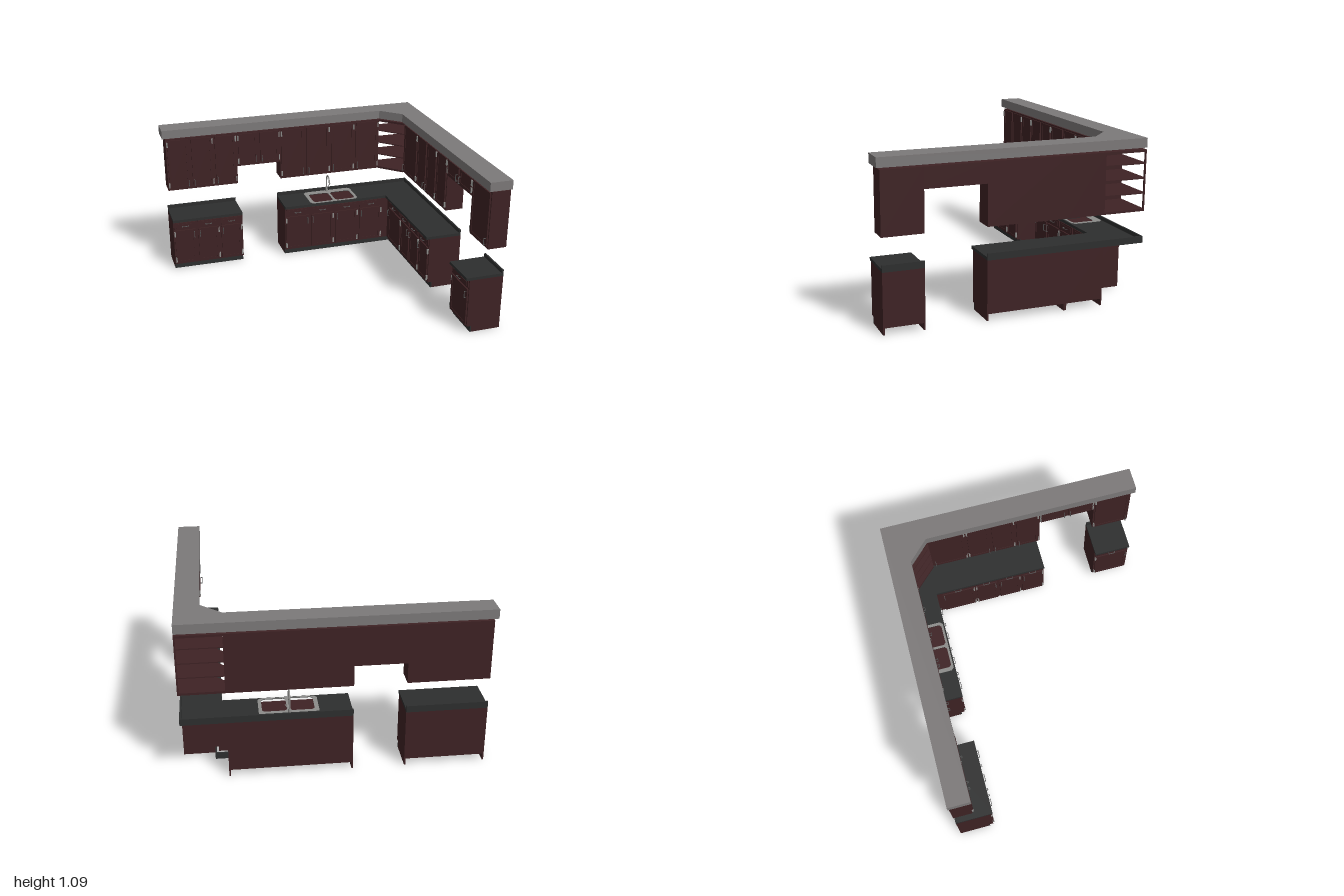
import * as THREE from 'three';

const mat = (name, color) => {
  const m = new THREE.MeshStandardMaterial({ color });
  m.name = name;
  return m;
};

export function createModel() {
  const wood = mat('dark red wood', 0x3e2224);
  const stone = mat('charcoal counter', 0x2d2e2e);
  const plaster = mat('grey soffit', 0x7c7979);
  const metal = mat('brushed metal', 0x8c8c8a);
  const pullMetal = mat('dark pull metal', 0x555555);
  const root = new THREE.Group();
  root.name = 'cornerKitchen';

  const add = (parent, name, geo, material) => {
    const m = new THREE.Mesh(geo, material);
    m.name = name;
    parent.add(m);
    return m;
  };
  // box given by its limits on each axis
  const box = (parent, name, material, x0, x1, y0, y1, z0, z1) => {
    const m = add(parent, name, new THREE.BoxGeometry(x1 - x0, y1 - y0, z1 - z0), material);
    m.position.set((x0 + x1) / 2, (y0 + y1) / 2, (z0 + z1) / 2);
    return m;
  };
  // horizontal slab from a plan outline of [x, z] points
  const plan = (pts) => pts.map(([x, z]) => new THREE.Vector2(x, -z));
  const slab = (parent, name, material, pts, y0, y1, holes = []) => {
    const s = new THREE.Shape(plan(pts));
    for (const h of holes) s.holes.push(new THREE.Path(plan(h)));
    const g = new THREE.ExtrudeGeometry(s, { depth: y1 - y0, bevelEnabled: false });
    g.rotateX(-Math.PI / 2);
    add(parent, name, g, material).position.y = y0;
  };
  const rect = (x0, x1, z0, z1) => [[x0, z0], [x1, z0], [x1, z1], [x0, z1]];
  // rectangle with cut corners
  const softRect = (x0, x1, z0, z1, c) => [
    [x0 + c, z0], [x1 - c, z0], [x1, z0 + c], [x1, z1 - c],
    [x1 - c, z1], [x0 + c, z1], [x0, z1 - c], [x0, z0 + c]];

  // each run: local x along the wall, wall at local z = 0, fronts face local +z
  const backRun = new THREE.Group();
  backRun.name = 'backRun';
  backRun.position.z = -0.895;
  const sideRun = new THREE.Group();
  sideRun.name = 'sideRun';
  sideRun.position.x = 1;
  sideRun.rotation.y = -Math.PI / 2;
  root.add(backRun, sideRun);

  // bar pull on two standoffs
  const pull = (run, x, y, z, len, vertical) => {
    const g = new THREE.Group();
    g.name = 'pull';
    g.position.set(x, y, z);
    if (vertical) g.rotation.z = Math.PI / 2;
    run.add(g);
    const h = len / 2, t = 0.002;
    box(g, 'pullBar', pullMetal, -h, h, -t, t, 0.012, 0.016);
    for (const s of [-h + t, h - t]) box(g, 'pullPost', pullMetal, s - t, s + t, -t, t, 0, 0.012);
  };

  // framed door; hinge is 'L' or 'R'
  const door = (run, x0, x1, y0, y1, z, hinge, pullY) => {
    const g = 0.01, f = 0.02;
    box(run, 'door', wood, x0 + g, x1 - g, y0, y1, z, z + 0.007);
    for (const [a, b] of [[x0 + g, x0 + g + f], [x1 - g - f, x1 - g]])
      box(run, 'doorStile', wood, a, b, y0, y1, z + 0.007, z + 0.01);
    for (const [a, b] of [[y0, y0 + f], [y1 - f, y1]])
      box(run, 'doorRail', wood, x0 + g + f, x1 - g - f, a, b, z + 0.007, z + 0.01);
    const hx = hinge === 'L' ? x0 + 0.01 : x1 - 0.01;
    const px = hinge === 'L' ? x1 - 0.022 : x0 + 0.022;
    for (const hy of [y0 + 0.03, y1 - 0.03])
      box(run, 'hinge', metal, hx - 0.005, hx + 0.005, hy - 0.02, hy + 0.02, z, z + 0.012);
    pull(run, px, pullY, z + 0.01, 0.05, true);
  };

  // base cabinet with toe kick, drawers over doors, and end panels down to the floor
  const base = (run, x0, x1, hinges) => {
    const D = 0.245, w = (x1 - x0) / hinges.length;
    box(run, 'baseCarcass', wood, x0, x1, 0.045, 0.395, 0, D);
    box(run, 'toeKick', stone, x0, x1, 0, 0.045, 0.21, 0.22);
    for (const x of [x0, x1 - 0.01]) box(run, 'endPanelFoot', wood, x, x + 0.01, 0, 0.045, 0, 0.21);
    [...hinges].forEach((h, i) => {
      const a = x0 + i * w, b = a + w;
      box(run, 'drawerFront', wood, a + 0.01, b - 0.01, 0.335, 0.387, D, D + 0.007);
      box(run, 'drawerPanel', wood, a + 0.025, b - 0.025, 0.346, 0.376, D + 0.007, D + 0.01);
      pull(run, (a + b) / 2, 0.361, D + 0.01, 0.05, false);
      door(run, a, b, 0.052, 0.325, D, h, 0.285);
    });
  };

  // wall cabinet
  const wall = (run, x0, x1, y0, hinges) => {
    const D = 0.133, w = (x1 - x0) / hinges.length;
    box(run, 'wallCarcass', wood, x0, x1, y0, 1.015, 0, D);
    [...hinges].forEach((h, i) =>
      door(run, x0 + i * w, x0 + (i + 1) * w, y0 + 0.012, 1.005, D, h, y0 + 0.05));
  };

  base(backRun, -0.975, -0.44, 'LRR');
  base(backRun, -0.1, 0.705, 'LRRR');
  base(sideRun, -0.605, -0.34, 'R');
  base(sideRun, -0.34, 0.2, 'LRR');
  base(sideRun, 0.605, 0.872, 'L');
  wall(backRun, -0.975, -0.44, 0.61, 'LRR');
  wall(backRun, -0.44, -0.1, 0.75, 'LR');
  wall(backRun, -0.1, 0.705, 0.61, 'LRRR');
  wall(sideRun, -0.605, -0.34, 0.61, 'R');
  wall(sideRun, -0.34, 0.2, 0.61, 'LRR');
  wall(sideRun, 0.2, 0.605, 0.88, 'LR');
  wall(sideRun, 0.605, 0.875, 0.61, 'L');

  // fillers and kicks closing the inner corner of the base cabinets
  box(root, 'cornerFiller', wood, 0.705, 0.765, 0.045, 0.395, -0.66, -0.65);
  box(root, 'cornerFiller', wood, 0.755, 0.765, 0.045, 0.395, -0.65, -0.605);
  box(root, 'cornerKick', stone, 0.705, 0.79, 0, 0.045, -0.685, -0.675);
  box(root, 'cornerKick', stone, 0.78, 0.79, 0, 0.045, -0.675, -0.605);

  // counters and backsplashes
  const bowls = [[0.14, 0.3], [0.318, 0.478]].map(([a, b]) => softRect(a, b, -0.82, -0.66, 0.015));
  slab(root, 'cornerCounter', stone, [[-0.1, -0.895], [1, -0.895], [1, 0.2], [0.73, 0.2],
    [0.73, -0.635], [-0.1, -0.635]], 0.395, 0.415, bowls);
  slab(root, 'leftCounter', stone, rect(-0.975, -0.44, -0.895, -0.635), 0.395, 0.415);
  slab(root, 'frontCounter', stone, rect(0.73, 1, 0.605, 0.872), 0.395, 0.415);
  for (const [a, b] of [[-0.975, -0.44], [-0.1, 1]])
    box(backRun, 'backsplash', stone, a, b, 0.415, 0.44, 0, 0.012);
  for (const [a, b] of [[-0.883, 0.2], [0.605, 0.872]])
    box(sideRun, 'backsplash', stone, a, b, 0.415, 0.44, 0, 0.012);

  // double sink rim and gooseneck tap
  slab(root, 'sinkRim', metal, softRect(0.112, 0.5, -0.875, -0.645, 0.02), 0.415, 0.419, bowls);
  const neck = new THREE.CatmullRomCurve3([[0.419, -0.858], [0.48, -0.858], [0.53, -0.855],
    [0.556, -0.84], [0.562, -0.818], [0.55, -0.797], [0.525, -0.785], [0.5, -0.778]]
    .map(([y, z]) => new THREE.Vector3(0.305, y, z)));
  add(root, 'tapNeck', new THREE.TubeGeometry(neck, 32, 0.0055, 10), metal);
  add(root, 'tapBase', new THREE.CylinderGeometry(0.009, 0.011, 0.03, 16), metal).position.set(0.305, 0.434, -0.858);
  const lever = new THREE.LineCurve3(new THREE.Vector3(0.305, 0.44, -0.858), new THREE.Vector3(0.335, 0.485, -0.858));
  add(root, 'tapLever', new THREE.TubeGeometry(lever, 1, 0.003, 8), metal);

  // open corner shelves with a post at the wall corner
  const corner = [[0.705, -0.895], [1, -0.895], [1, -0.605], [0.855, -0.605], [0.705, -0.755]];
  for (const [y, t] of [[0.61, 0.015], [0.726, 0.007], [0.824, 0.007], [0.922, 0.007], [1.0, 0.015]])
    slab(root, 'cornerShelf', wood, corner, y, y + t);
  box(root, 'cornerPost', wood, 0.99, 1, 0.61, 1.015, -0.895, -0.885);

  // L-shaped soffit with a cut inner corner
  slab(root, 'soffit', plaster, [[-1, -0.897], [1, -0.897], [1, 0.895], [0.84, 0.895],
    [0.84, -0.61], [0.7, -0.745], [-1, -0.745]], 1.027, 1.09);
  return root;
}
